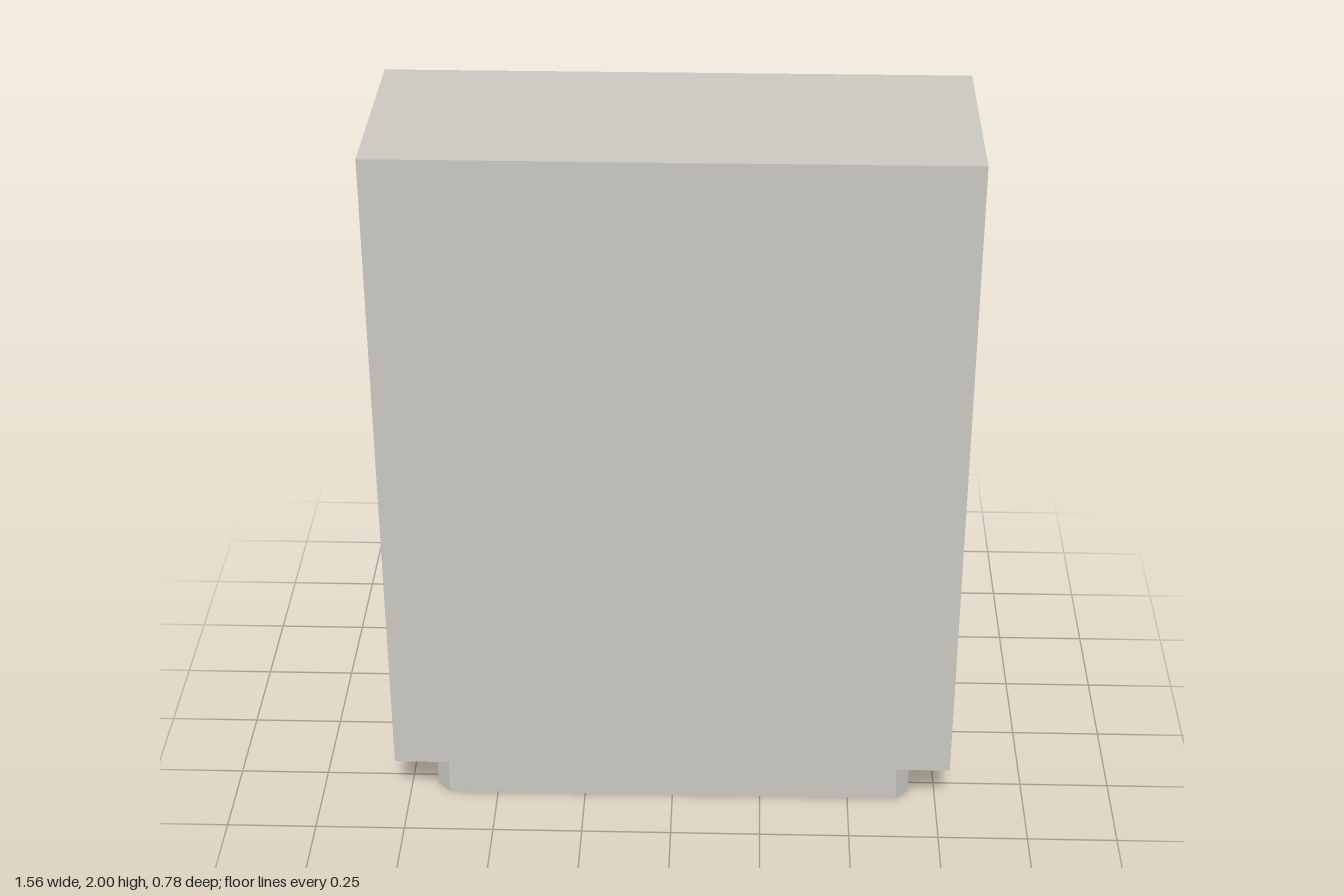
import * as THREE from 'three';

const paint = new THREE.MeshStandardMaterial({ color: 0xc9c7c0 });
paint.name = 'warm grey paint';
const metal = new THREE.MeshStandardMaterial({ color: 0x9aa1a9 });
metal.name = 'blue grey metal';

// Closed rectangle outline
function rect(Type, x0, y0, x1, y1) {
  const p = new Type();
  p.moveTo(x0, y0);
  p.lineTo(x1, y0);
  p.lineTo(x1, y1);
  p.lineTo(x0, y1);
  p.closePath();
  return p;
}

// Rectangular frame from z0 to z1, outer and inner given as [x0, y0, x1, y1]
function frame(name, outer, inner, z0, z1) {
  const shape = rect(THREE.Shape, ...outer);
  shape.holes.push(rect(THREE.Path, ...inner));
  const geo = new THREE.ExtrudeGeometry(shape, { depth: z1 - z0, bevelEnabled: false });
  geo.translate(0, 0, z0);
  const mesh = new THREE.Mesh(geo, paint);
  mesh.name = name;
  return mesh;
}

function box(name, w, h, d, x, y, z) {
  const mesh = new THREE.Mesh(new THREE.BoxGeometry(w, h, d), paint);
  mesh.name = name;
  mesh.position.set(x, y, z);
  return mesh;
}

// Upright block with its four vertical corners cut off, centred in x and z
function chamferedBlock(name, w, h, d, c, material) {
  const x = w / 2, z = d / 2;
  const shape = new THREE.Shape([
    [-x + c, -z], [x - c, -z], [x, -z + c], [x, z - c],
    [x - c, z], [-x + c, z], [-x, z - c], [-x, -z + c],
  ].map(([a, b]) => new THREE.Vector2(a, b)));
  const geo = new THREE.ExtrudeGeometry(shape, { depth: h, bevelEnabled: false });
  geo.rotateX(-Math.PI / 2);
  const mesh = new THREE.Mesh(geo, material);
  mesh.name = name;
  return mesh;
}

// Tilted flap: framed outer face, recessed panel and pull; origin at the inner bottom edge
function createFlap() {
  const W = 0.763, H = 0.57, T = 0.043, RIM = 0.08, RECESS = 0.02;
  const flap = new THREE.Group();
  flap.add(frame('flapFrame', [-W, 0, W, H], [-W + RIM, RIM, W - RIM, H - RIM], -T, -(T - RECESS)));
  flap.add(box('flapPanel', 2 * W, H, T - RECESS, 0, H / 2, -(T - RECESS) / 2));
  const handle = chamferedBlock('handle', 0.2, 0.065, 0.049, 0.017, metal);
  handle.position.set(0, H - 0.09, -T - 0.0245);
  flap.add(handle);
  return flap;
}

export function createModel() {
  const model = new THREE.Group();
  model.name = 'flapCabinet';

  // Hollow carcass, open towards -z
  const X = 0.782, Z0 = -0.198, Z1 = 0.39, WALL = 0.026;
  model.add(frame('carcass', [-X, 0.15, X, 2], [-X + 0.036, 0.22, X - 0.036, 1.96], Z0, Z1 - WALL));
  model.add(box('closedPanel', 2 * X, 1.85, WALL, 0, 1.075, Z1 - WALL / 2));

  // Plinth with cut corners
  const plinth = chamferedBlock('plinth', 1.35, 0.15, 0.41, 0.037, paint);
  plinth.position.z = 0.122;
  model.add(plinth);

  // Three flaps leaning outwards
  for (let i = 0; i < 3; i++) {
    const flap = createFlap();
    flap.name = `flap${i + 1}`;
    flap.position.set(0, 0.126 + i * 0.598, -0.18);
    flap.rotation.x = -0.224;
    model.add(flap);
  }
  return model;
}
